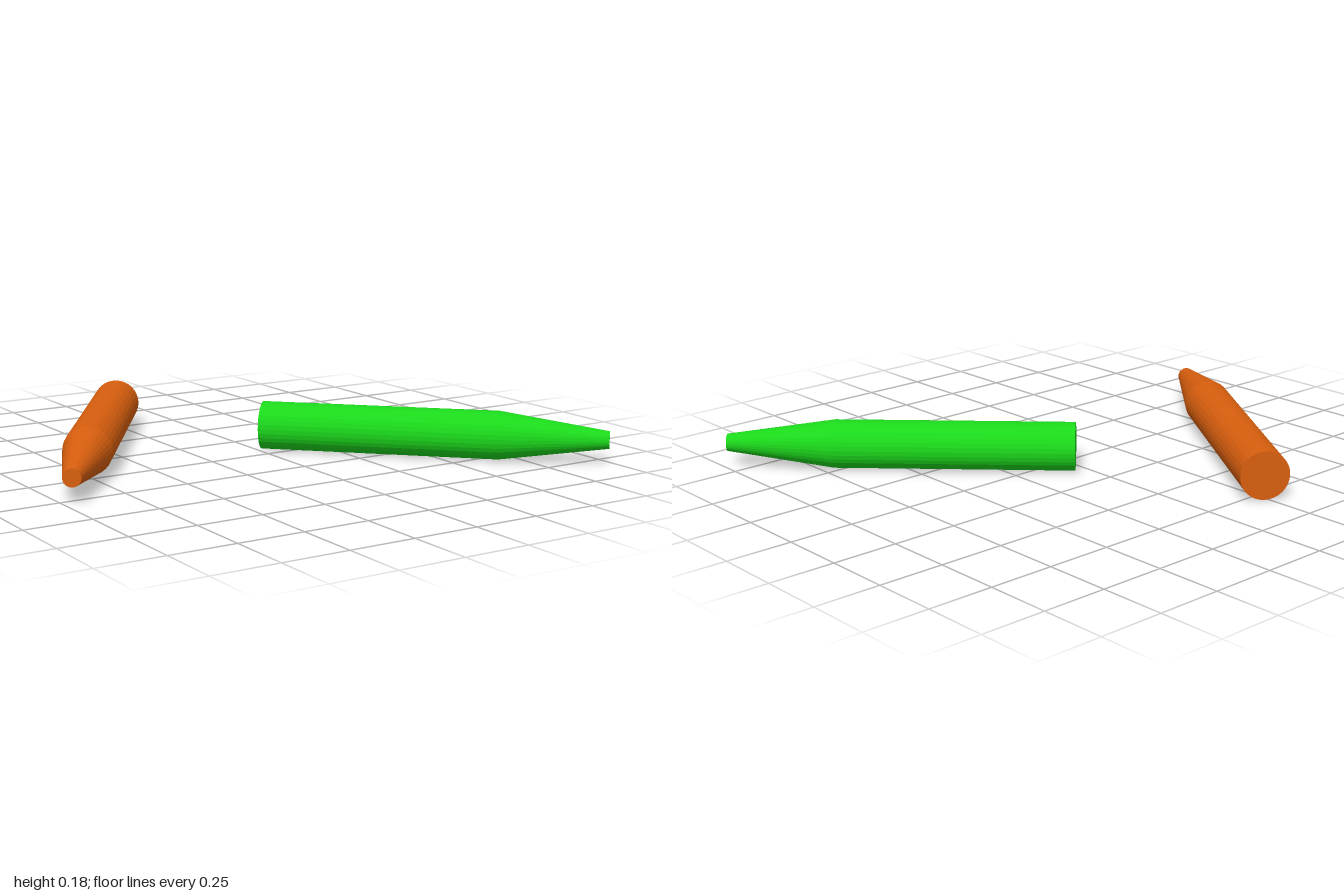
import * as THREE from 'three';

const RADIUS = 0.092, TIP_RADIUS = 0.033, BODY = 0.91, TAPER = 0.41, SIDES = 32;

// One crayon lying flat, from the centre of its blunt end towards its tip
function crayon(name, color, rear, tip) {
  const material = new THREE.MeshStandardMaterial({ color, flatShading: true });
  const group = new THREE.Group();
  group.name = name;

  // Straight barrel with a flat rear face
  const barrel = new THREE.Mesh(
    new THREE.CylinderGeometry(RADIUS, RADIUS, BODY, SIDES), material);
  barrel.name = 'barrel';
  barrel.position.y = BODY / 2;

  // Tapered point with a blunt end
  const point = new THREE.Mesh(
    new THREE.CylinderGeometry(TIP_RADIUS, RADIUS, TAPER, SIDES), material);
  point.name = 'point';
  point.position.y = BODY + TAPER / 2;
  group.add(barrel, point);

  // Lay it down along the line from rear to tip
  const from = new THREE.Vector3(rear[0], RADIUS, rear[1]);
  const to = new THREE.Vector3(tip[0], RADIUS, tip[1]);
  const direction = to.clone().sub(from).normalize();
  group.quaternion.setFromUnitVectors(new THREE.Vector3(0, 1, 0), direction);
  group.position.copy(to).addScaledVector(direction, -(BODY + TAPER));
  return group;
}

export function createModel() {
  const model = new THREE.Group();
  model.name = 'crayons';
  model.add(
    crayon('orangeCrayon', 0xd95f0e, [-0.236, -0.802], [-0.973, 0.292]),
    crayon('greenCrayon', 0x1bd81b, [0.037, -0.098], [0.977, 0.828]),
  );
  return model;
}
